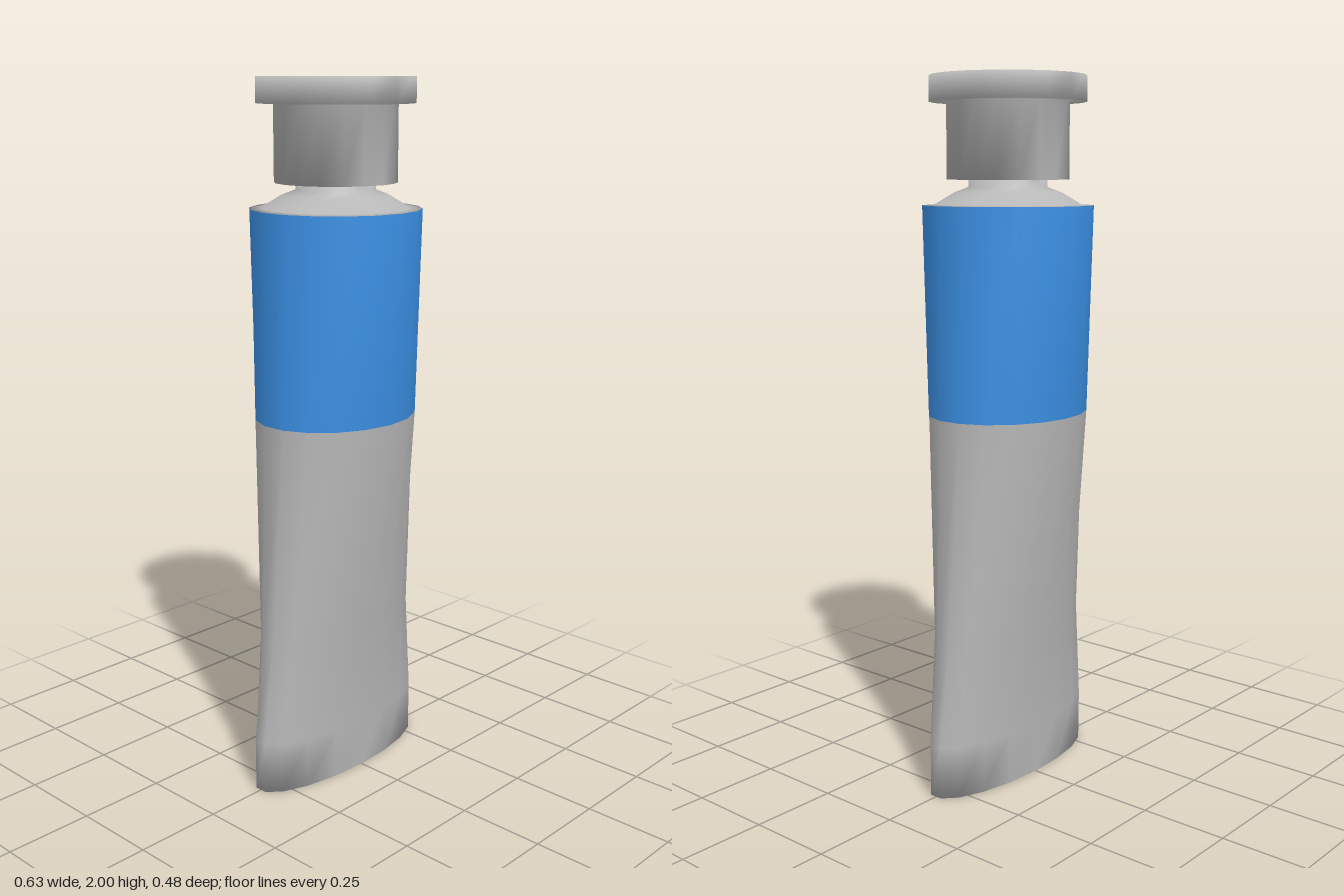
import * as THREE from 'three';

const SIDES = 18;

// Closed smooth loft through elliptical rings [y, radiusX, radiusZ, material index of the band above]
function loft(rings) {
  const pos = [], index = [], geo = new THREE.BufferGeometry();
  for (const [y, rx, rz] of rings) {
    for (let j = 0; j < SIDES; j++) {
      const a = (j / SIDES) * Math.PI * 2;
      pos.push(rx * Math.sin(a), y, rz * Math.cos(a));
    }
  }
  // End faces are triangulated in strips across the ring
  const endFace = (base, up) => {
    let lo = 0, hi = SIDES - 1, low = true;
    while (hi - lo > 1) {
      const tri = low ? [lo, lo + 1, hi] : [lo, hi - 1, hi];
      if (low) lo++; else hi--;
      low = !low;
      if (!up) tri.reverse();
      index.push(...tri.map((k) => base + k));
    }
  };
  const group = (from, material) => geo.addGroup(from, index.length - from, material);

  endFace(0, false);
  group(0, rings[0][3] ?? 0);
  for (let i = 0; i < rings.length - 1; i++) {
    const start = index.length;
    for (let j = 0; j < SIDES; j++) {
      const k = (j + 1) % SIDES;
      const a = i * SIDES + j, b = i * SIDES + k;
      index.push(a, b, b + SIDES, a, b + SIDES, a + SIDES);
    }
    group(start, rings[i][3] ?? 0);
  }
  const start = index.length;
  endFace((rings.length - 1) * SIDES, true);
  group(start, 0);

  geo.setAttribute('position', new THREE.Float32BufferAttribute(pos, 3));
  geo.setIndex(index);
  geo.computeVertexNormals();
  return geo;
}

export function createModel() {
  const grey = new THREE.MeshStandardMaterial({ color: 0xb8b8b8 });
  grey.name = 'tubeGrey';
  const blue = new THREE.MeshStandardMaterial({ color: 0x3b90e4 });
  blue.name = 'labelBlue';
  const model = new THREE.Group();
  model.name = 'paintTube';

  const add = (name, rings) => {
    const mesh = new THREE.Mesh(loft(rings), [grey, blue]);
    mesh.name = name;
    model.add(mesh);
  };

  // Tube: flattened crimped base, blue label band, shoulder and nozzle
  add('tubeBody', [
    [0, 0.32, 0.107],
    [0.15, 0.32, 0.109],
    [0.45, 0.283, 0.128],
    [1.07, 0.25, 0.208, 1],
    [1.65, 0.239, 0.239],
    [1.652, 0.205, 0.205],
    [1.685, 0.15, 0.15],
    [1.7, 0.11, 0.11],
    [1.74, 0.11, 0.11],
  ]);

  // Screw cap: narrow collar under a wide disc
  add('cap', [
    [1.72, 0.17, 0.17],
    [1.93, 0.17, 0.17],
    [1.93, 0.218, 0.218],
    [2.0, 0.218, 0.218],
  ]);

  return model;
}
